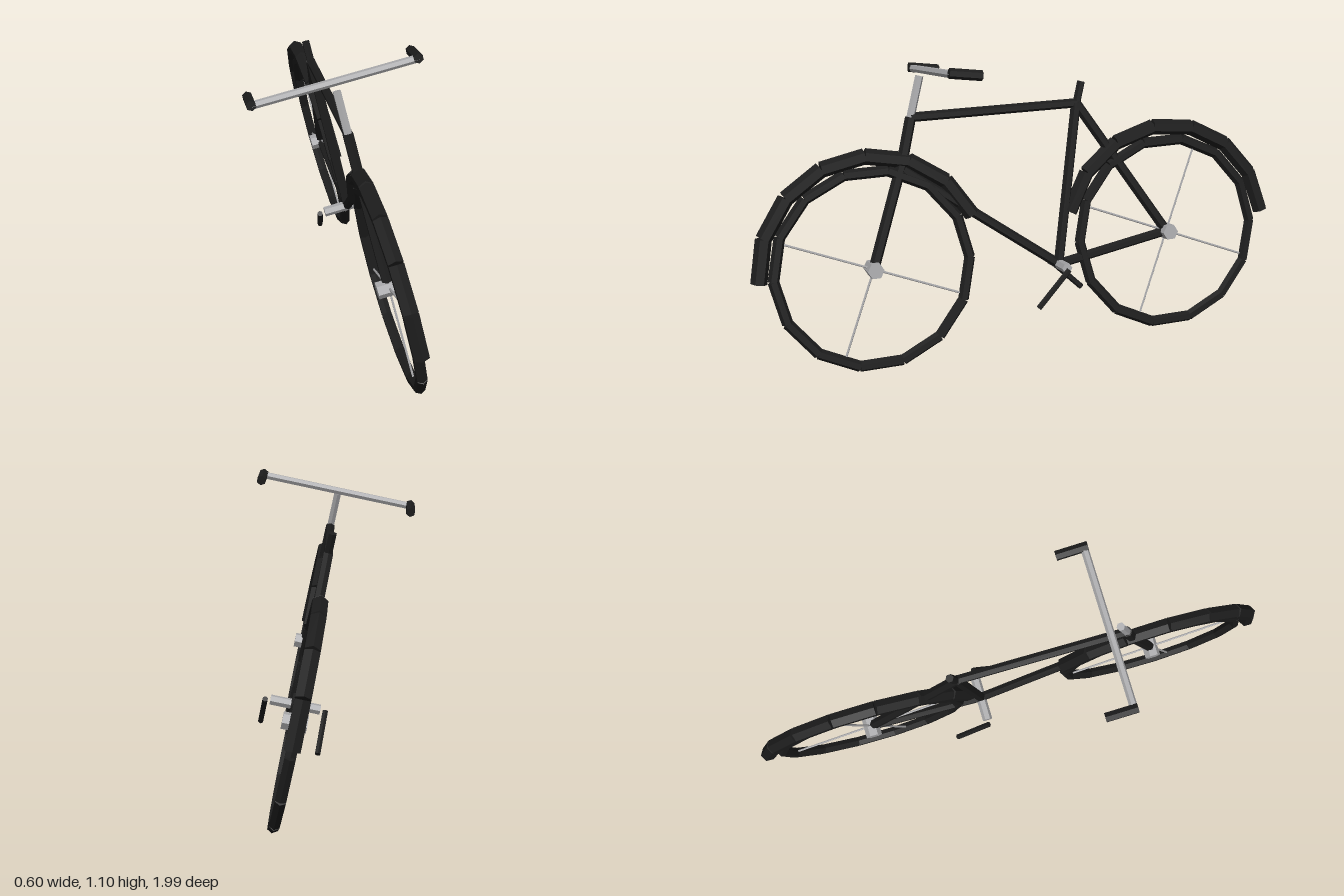
import * as THREE from 'three';
import { mergeGeometries } from 'three/addons/utils/BufferGeometryUtils.js';

const LEAN = 0.21;
const BASE_X = 0.213;
const HUB_Y = 0.378;
const up = new THREE.Vector3(0, 1, 0);

// Faceted six-sided rod between two points
function rodGeometry(a, b, radius) {
  const start = new THREE.Vector3(...a);
  const end = new THREE.Vector3(...b);
  const dir = end.clone().sub(start);
  const geo = new THREE.CylinderGeometry(radius, radius, dir.length(), 6).toNonIndexed();
  geo.applyQuaternion(new THREE.Quaternion().setFromUnitVectors(up, dir.normalize()));
  geo.translate(...start.add(end).multiplyScalar(0.5).toArray());
  geo.computeVertexNormals();
  return geo;
}

// Chain of straight rods along an arc in the wheel plane (angle 0 points forward)
function arcGeometry(hubZ, R, radius, from, to, count) {
  const point = (i) => {
    const t = THREE.MathUtils.degToRad(from + ((to - from) * i) / count);
    return [0, HUB_Y + R * Math.sin(t), hubZ + R * Math.cos(t)];
  };
  const parts = [];
  for (let i = 0; i < count; i++) parts.push(rodGeometry(point(i), point(i + 1), radius));
  return mergeGeometries(parts);
}

export function createModel() {
  const black = new THREE.MeshStandardMaterial({ color: 0x1c1c1c });
  black.name = 'black paint';
  const silver = new THREE.MeshStandardMaterial({ color: 0xa8a8aa });
  silver.name = 'silver metal';

  const model = new THREE.Group();
  model.name = 'bicycle';
  const bike = new THREE.Group();
  bike.name = 'leaningBicycle';
  bike.position.x = BASE_X;
  bike.rotation.z = LEAN;
  model.add(bike);

  const add = (name, geo, mat) => {
    const mesh = new THREE.Mesh(geo, mat);
    mesh.name = name;
    bike.add(mesh);
  };
  const rod = (name, a, b, r, mat = black) => add(name, rodGeometry(a, b, r), mat);

  // Wheels: tyre, hub and four spokes, with a mudguard over each
  const wheels = [
    ['front', 0.565, 0, 157.5],
    ['rear', -0.565, 17, 175],
  ];
  for (const [side, z, from, to] of wheels) {
    add(side + 'Tyre', arcGeometry(z, 0.352, 0.02, 0, 360, 14), black);
    add(side + 'Mudguard', arcGeometry(z, 0.402, 0.029, from, to, 7), black);
    rod(side + 'Hub', [-0.042, HUB_Y, z], [0.042, HUB_Y, z], 0.03, silver);
    for (let i = 0; i < 4; i++) {
      const t = Math.PI / 8 + (i * Math.PI) / 2;
      rod(side + 'Spoke', [0, HUB_Y, z],
        [0, HUB_Y + 0.34 * Math.sin(t), z + 0.34 * Math.cos(t)], 0.004, silver);
    }
  }

  // Frame tubes
  const head = [0, 0.9, 0.39];
  const crown = [0, 0.755, 0.43];
  const seatTop = [0, 0.895, -0.23];
  const bracket = [0, 0.307, -0.125];
  const rearHub = [0, HUB_Y, -0.565];
  rod('frontFork', [0, HUB_Y, 0.565], crown, 0.02);
  rod('headTube', crown, head, 0.02);
  rod('topTube', head, seatTop, 0.017);
  rod('downTube', bracket, [0, 0.72, 0.43], 0.018);
  rod('seatTube', bracket, seatTop, 0.019);
  rod('seatPost', [0, 0.88, -0.228], [0, 0.972, -0.255], 0.015);
  rod('seatStay', seatTop, rearHub, 0.019);
  rod('chainStay', bracket, rearHub, 0.018);

  // Steering: stem, handlebar and grips pointing back
  rod('stem', head, [0, 1.042, 0.347], 0.015, silver);
  rod('handlebar', [-0.285, 1.055, 0.305], [0.297, 1.055, 0.305], 0.014, silver);
  for (const x of [-0.283, 0.295]) {
    rod('grip', [x, 1.06, 0.318], [x, 1.043, 0.205], 0.018);
  }

  // Crank axle and the two arms
  rod('crankAxle', [-0.093, 0.307, -0.125], [0.093, 0.307, -0.125], 0.019, silver);
  rod('leftCrank', [0.112, 0.305, -0.125], [0.112, 0.18, 0], 0.011);
  rod('rightCrank', [-0.112, 0.305, -0.125], [-0.112, 0.18, -0.25], 0.011);

  return model;
}
